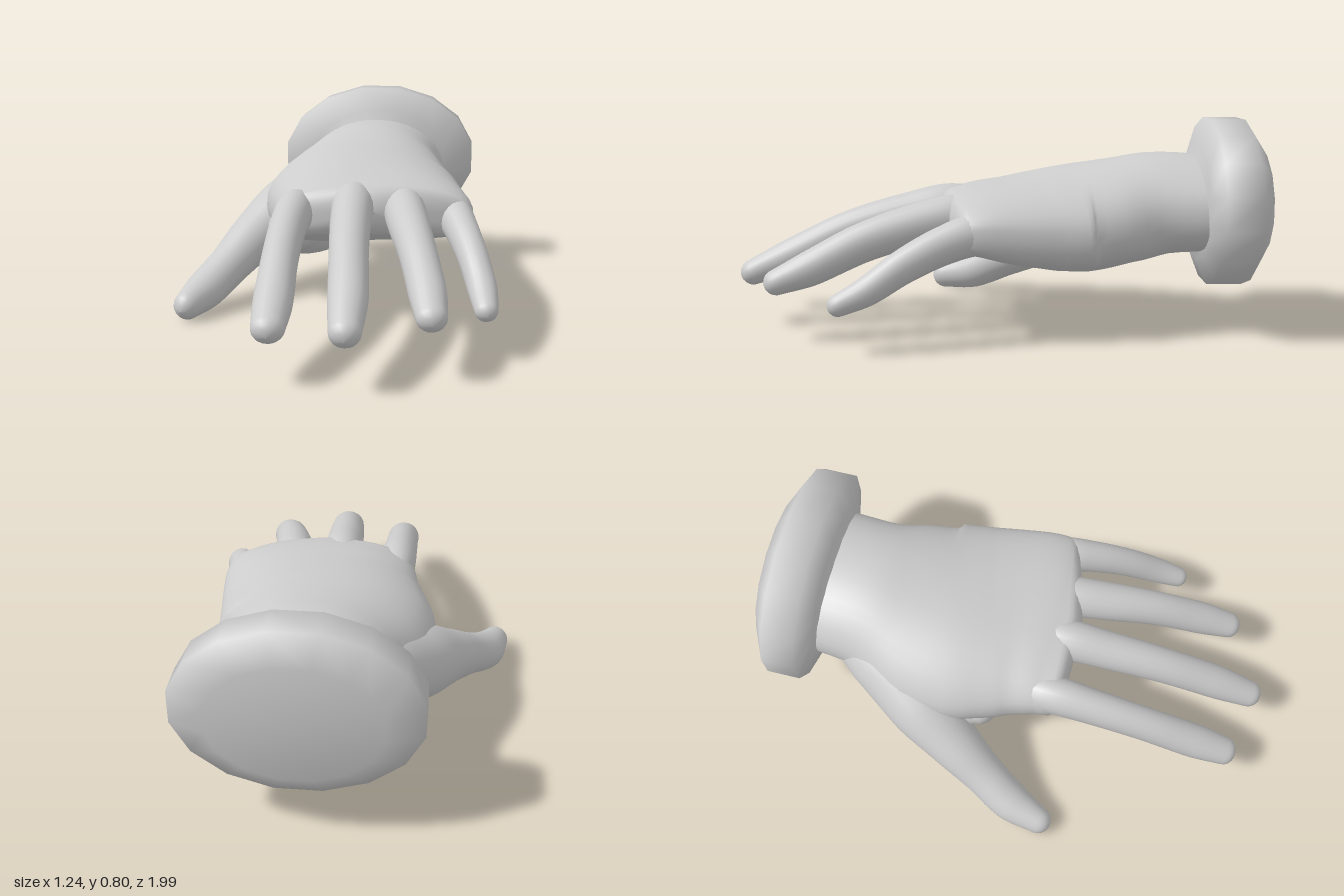
import * as THREE from 'three';

const UP = new THREE.Vector3(0, 1, 0);

// Smooth skin through stations [x, y, z, halfWidth, halfHeight, power];
// power > 2 squares the section, arch droops its sides.
function loft(stations, { arch = 0, sides = 20, steps = 24, capLength = 1 } = {}) {
  const path = new THREE.CatmullRomCurve3(stations.map(s => new THREE.Vector3(s[0], s[1], s[2])));
  const sizes = new THREE.CatmullRomCurve3(stations.map(s => new THREE.Vector3(s[3], s[4], s[5] ?? 2)));
  const pos = [], index = [];
  const ring = (centre, tangent, w, h, power) => {
    const side = new THREE.Vector3().crossVectors(UP, tangent).normalize();
    const lift = new THREE.Vector3().crossVectors(tangent, side);
    for (let j = 0; j < sides; j++) {
      const a = j / sides * Math.PI * 2, c = Math.cos(a), s = Math.sin(a);
      const u = Math.sign(c) * Math.abs(c) ** (2 / power);
      const v = Math.sign(s) * Math.abs(s) ** (2 / power);
      const p = centre.clone().addScaledVector(side, u * w).addScaledVector(lift, v * h);
      p.y -= arch * u * u * (w / 0.38);
      pos.push(p.x, p.y, p.z);
    }
  };
  let rows = 0;
  for (let i = 0; i <= steps; i++, rows++) {
    const t = i / steps, size = sizes.getPoint(t);
    ring(path.getPoint(t), path.getTangent(t), size.x, size.y, size.z);
  }
  // rounded end
  const end = path.getPoint(1), dir = path.getTangent(1), last = sizes.getPoint(1);
  for (let i = 1; i <= 5; i++, rows++) {
    const a = i / 5 * Math.PI / 2, k = Math.max(Math.cos(a), 0.02);
    ring(end.clone().addScaledVector(dir, Math.sin(a) * last.y * capLength), dir, last.x * k, last.y * k, last.z);
  }
  for (let i = 0; i < rows - 1; i++) {
    for (let j = 0; j < sides; j++) {
      const a = i * sides + j, b = i * sides + (j + 1) % sides;
      index.push(a, b, a + sides, b, b + sides, a + sides);
    }
  }
  const g = new THREE.BufferGeometry();
  g.setAttribute('position', new THREE.Float32BufferAttribute(pos, 3));
  g.setIndex(index);
  return g;
}

export function createModel() {
  const model = new THREE.Group();
  model.name = 'hand';
  const grey = new THREE.MeshStandardMaterial({ color: 0xcccccc });
  grey.name = 'light grey';
  const add = (name, geometry) => {
    geometry.computeVertexNormals();
    const mesh = new THREE.Mesh(geometry, grey);
    mesh.name = name;
    model.add(mesh);
  };

  // Palm and wrist, from [z, left x, right x, bottom y, top y, power]
  const palm = loft([
    [-0.80, -0.19, 0.40, 0.30, 0.66, 2.2],
    [-0.62, -0.21, 0.39, 0.285, 0.67, 2.2],
    [-0.48, -0.27, 0.435, 0.255, 0.65, 2.2],
    [-0.32, -0.325, 0.475, 0.235, 0.625, 2.2],
    [-0.17, -0.30, 0.505, 0.245, 0.60, 2.4],
    [-0.05, -0.26, 0.52, 0.275, 0.58, 2.6],
    [0.08, -0.235, 0.53, 0.32, 0.56, 2.9],
    [0.17, -0.225, 0.525, 0.345, 0.54, 3],
  ].map(([z, x0, x1, y0, y1, n]) => [(x0 + x1) / 2, (y0 + y1) / 2, z, (x1 - x0) / 2, (y1 - y0) / 2, n]),
  { arch: 0.04, sides: 40, capLength: 0.6 });
  // the knuckle line falls back towards the little finger
  const p = palm.attributes.position;
  for (let i = 0; i < p.count; i++) {
    const z = p.getZ(i);
    if (z > 0) p.setZ(i, z * (1 - 0.75 * Math.max(0, p.getX(i) - 0.15)));
  }
  add('palm', palm);

  // Fingers, rooted inside the palm
  const fingers = {
    indexFinger: [
      [-0.14, 0.40, 0.02, 0.06, 0.07], [-0.15, 0.43, 0.17, 0.075, 0.085], [-0.155, 0.405, 0.34, 0.069, 0.08],
      [-0.153, 0.34, 0.55, 0.066, 0.074], [-0.146, 0.25, 0.75, 0.069, 0.068], [-0.143, 0.197, 0.89, 0.058, 0.05]],
    middleFinger: [
      [0.07, 0.43, 0.02, 0.06, 0.07], [0.073, 0.463, 0.17, 0.08, 0.086], [0.078, 0.435, 0.34, 0.076, 0.08],
      [0.092, 0.372, 0.57, 0.07, 0.074], [0.11, 0.275, 0.79, 0.069, 0.068], [0.115, 0.21, 0.945, 0.055, 0.05]],
    ringFinger: [
      [0.24, 0.42, -0.02, 0.06, 0.07], [0.26, 0.447, 0.13, 0.08, 0.085], [0.288, 0.42, 0.30, 0.077, 0.08],
      [0.33, 0.36, 0.50, 0.068, 0.074], [0.37, 0.272, 0.69, 0.066, 0.066], [0.387, 0.225, 0.81, 0.054, 0.048]],
    littleFinger: [
      [0.42, 0.39, -0.06, 0.05, 0.06], [0.453, 0.408, 0.08, 0.07, 0.076], [0.487, 0.375, 0.20, 0.062, 0.07],
      [0.527, 0.308, 0.34, 0.056, 0.062], [0.56, 0.225, 0.47, 0.053, 0.053], [0.572, 0.18, 0.565, 0.042, 0.04]],
  };
  for (const [name, stations] of Object.entries(fingers)) add(name, loft(stations));

  // Thumb
  add('thumb', loft([
    [-0.05, 0.45, -0.70, 0.09, 0.12], [-0.145, 0.39, -0.53, 0.13, 0.15], [-0.26, 0.315, -0.34, 0.14, 0.145],
    [-0.37, 0.24, -0.18, 0.108, 0.105], [-0.455, 0.155, -0.03, 0.085, 0.083], [-0.525, 0.088, 0.10, 0.08, 0.077],
    [-0.568, 0.06, 0.222, 0.055, 0.057]], { sides: 24, steps: 30 }));

  // Fleshy mound under the thumb, reaching into the web
  add('thumbMound', loft([
    [0.04, 0.41, -0.74, 0.13, 0.09], [-0.05, 0.35, -0.55, 0.19, 0.13], [-0.13, 0.295, -0.37, 0.215, 0.132],
    [-0.18, 0.275, -0.22, 0.175, 0.11], [-0.19, 0.295, -0.10, 0.11, 0.085]], { sides: 28 }));

  // Cuff: a thick oval ring with bevelled rims and a closed back
  const profile = [[0.55, 0.742], [0.7, 0.762], [1, 0.80], [1, 0.93], [0.7, 0.995], [0, 0.995]]
    .map(([r, y]) => new THREE.Vector2(r, y));
  const cuff = new THREE.LatheGeometry(profile, 16, Math.PI / 16);
  const k = 1 / Math.cos(Math.PI / 16);
  cuff.rotateX(-Math.PI / 2).scale(0.425 * k, 0.315 * k, 1).translate(0.105, 0.485, 0);
  const mesh = new THREE.Mesh(cuff, grey);
  mesh.name = 'cuff';
  model.add(mesh);

  return model;
}
